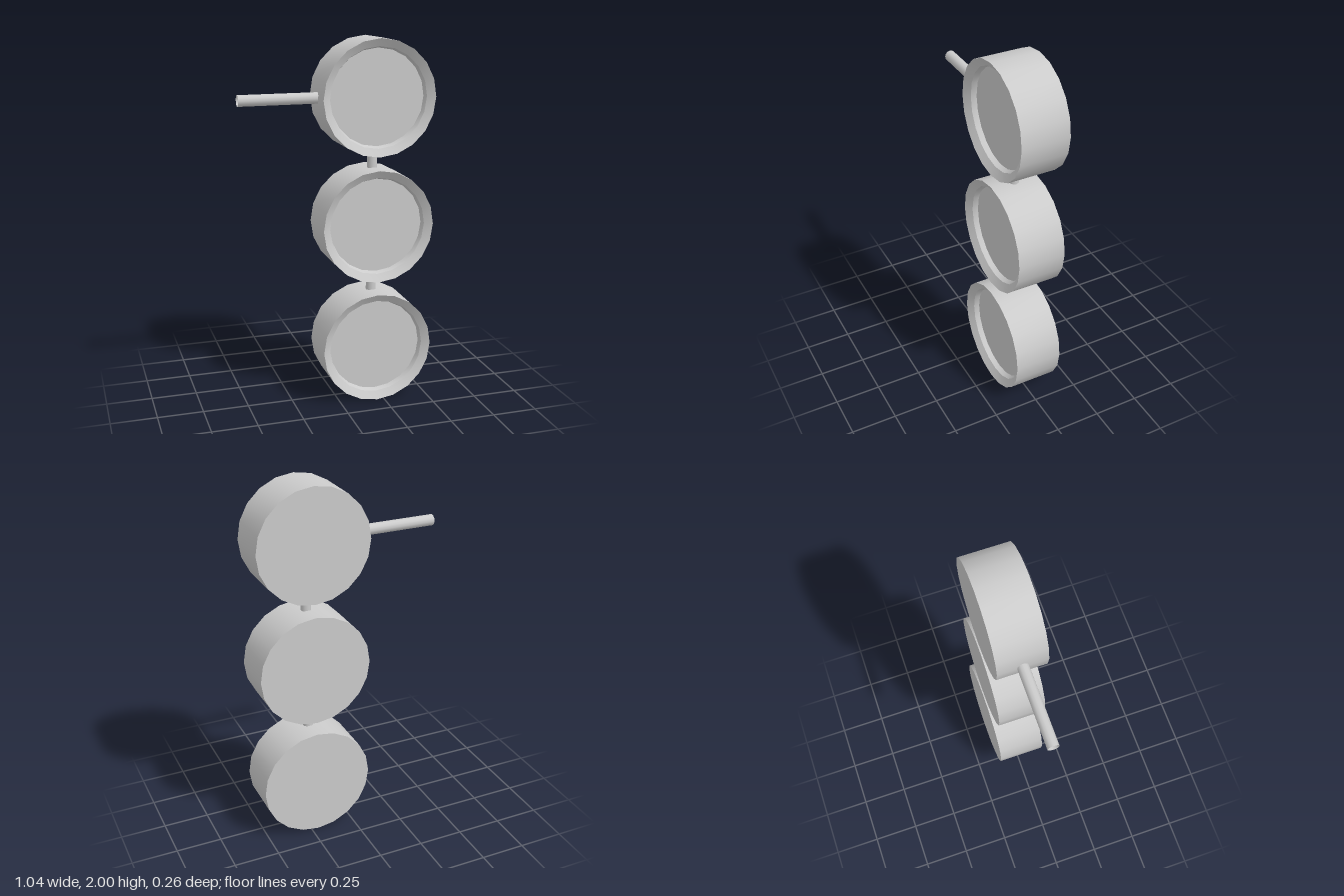
import * as THREE from 'three';
import { toCreasedNormals } from 'three/addons/utils/BufferGeometryUtils.js';

const R = 0.309, HALF = 0.131, LAMP_X = 0.21;
const LAMP_Y = [R, 1, 2 - R];

export function createModel() {
  const model = new THREE.Group();
  const grey = new THREE.MeshStandardMaterial({ color: 0xcccccc });
  const greyOpen = new THREE.MeshStandardMaterial({ color: 0xcccccc, side: THREE.DoubleSide });

  const add = (name, geometry, material, x, y) => {
    const mesh = new THREE.Mesh(geometry, material);
    mesh.name = name;
    mesh.position.set(x, y, 0);
    model.add(mesh);
  };

  // Lamp drum: flat back, straight wall, sloped front rim, recessed lens
  const profile = [
    [0, -HALF], [R, -HALF], [R, HALF],
    [0.267, 0.105], [0.258, 0.077], [0, 0.077],
  ].map(([r, y]) => new THREE.Vector2(r, y));
  const lamp = toCreasedNormals(new THREE.LatheGeometry(profile, 20), 0.5).rotateX(Math.PI / 2);
  ['lowerLamp', 'middleLamp', 'upperLamp'].forEach((name, i) => add(name, lamp, grey, LAMP_X, LAMP_Y[i]));

  // Short connectors between neighbouring lamps
  const gap = LAMP_Y[1] - LAMP_Y[0] - 2 * R;
  const connector = new THREE.CylinderGeometry(0.028, 0.028, gap + 0.02, 12, 1, true);
  ['lowerConnector', 'upperConnector'].forEach((name, i) =>
    add(name, connector, greyOpen, LAMP_X, (LAMP_Y[i] + LAMP_Y[i + 1]) / 2));

  // Hollow mounting arm reaching sideways from the upper lamp
  const armStart = -0.52, armEnd = LAMP_X - R + 0.01;
  const arm = new THREE.CylinderGeometry(0.03, 0.03, armEnd - armStart, 12, 1, true).rotateZ(Math.PI / 2);
  add('mountingArm', arm, greyOpen, (armStart + armEnd) / 2, LAMP_Y[2]);

  return model;
}
